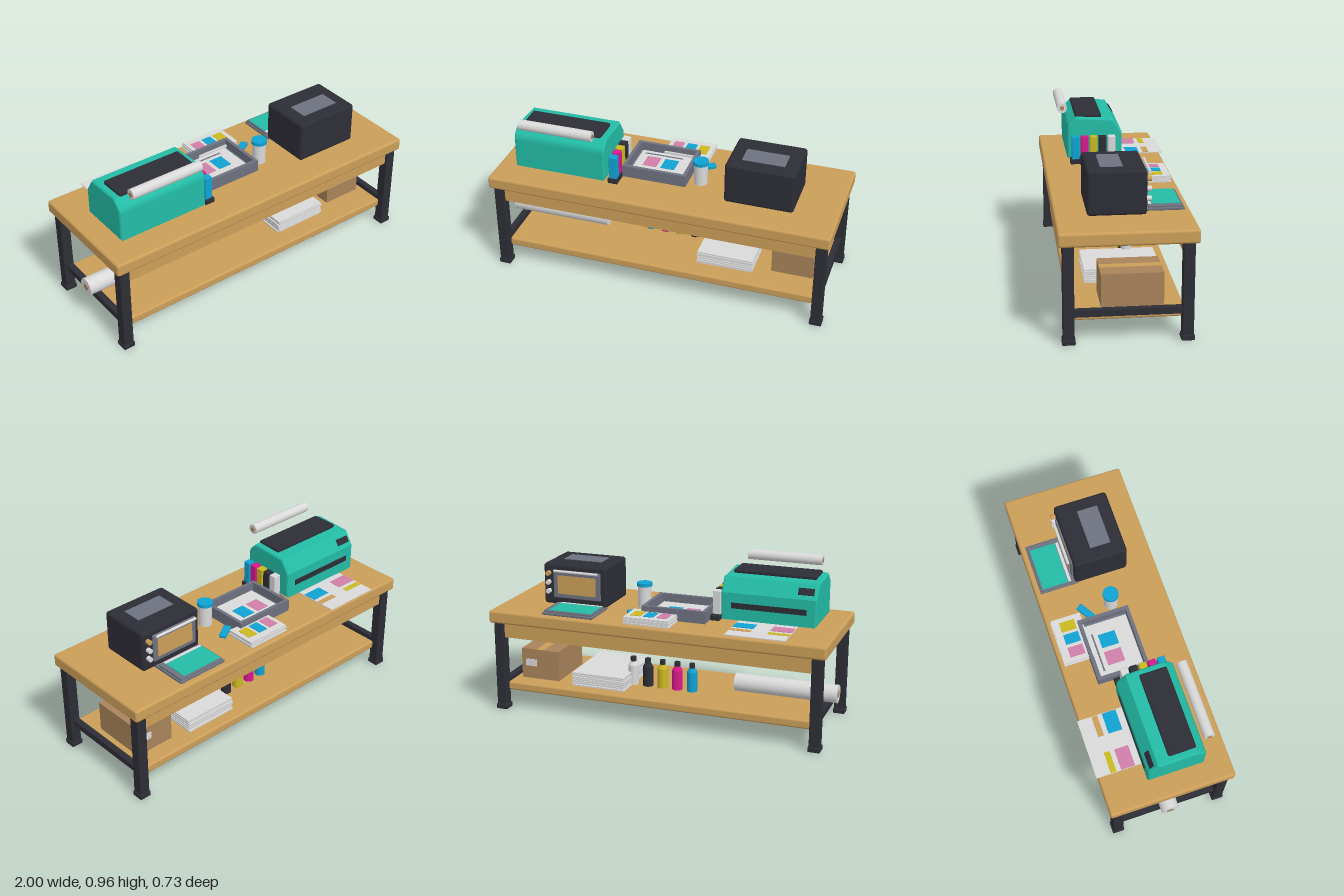
import * as THREE from 'three';
import { RoundedBoxGeometry } from 'three/addons/geometries/RoundedBoxGeometry.js';

const mat = (name, color) => {
  const m = new THREE.MeshStandardMaterial({ color });
  m.name = name;
  return m;
};

export function createModel() {
  const wood = mat('wood', 0xcb9e59), dark = mat('charcoal', 0x2d2d36), teal = mat('teal', 0x23bca6);
  const white = mat('paper white', 0xd9d9d9), grey = mat('slate grey', 0x6e7280), cyan = mat('cyan', 0x0fa2d2);
  const magenta = mat('magenta', 0xd8188c), yellow = mat('yellow', 0xcab81f);
  const card = mat('cardboard', 0xa8835a), pink = mat('pink', 0xd07fa8);

  const root = new THREE.Group();
  root.name = 'printWorkbench';
  let target = root;
  const group = (name) => {
    target = new THREE.Group();
    target.name = name;
    root.add(target);
    return target;
  };
  const add = (name, geo, m, x = 0, y = 0, z = 0) => {
    const mesh = new THREE.Mesh(geo, m);
    mesh.name = name;
    mesh.position.set(x, y, z);
    target.add(mesh);
    return mesh;
  };
  // Box given by its limits on each axis, optionally rounded
  const box = (name, m, x0, x1, y0, y1, z0, z1, r = 0) => {
    const s = [x1 - x0, y1 - y0, z1 - z0];
    const geo = r ? new RoundedBoxGeometry(...s, 3, r) : new THREE.BoxGeometry(...s);
    return add(name, geo, m, (x0 + x1) / 2, (y0 + y1) / 2, (z0 + z1) / 2);
  };
  const cylX = (name, m, x0, x1, r, y, z) =>
    add(name, new THREE.CylinderGeometry(r, r, x1 - x0, 32).rotateZ(Math.PI / 2), m, (x0 + x1) / 2, y, z);
  const cylY = (name, m, x, z, y0, y1, r, r2 = r) =>
    add(name, new THREE.CylinderGeometry(r2, r, y1 - y0, 32), m, x, (y0 + y1) / 2, z);
  // Flat printed patch
  const patch = (name, m, x0, x1, y, z0, z1) => box(name, m, x0, x1, y, y + 0.003, z0, z1);

  // Table
  group('table');
  box('tableTop', wood, -0.999, 0.996, 0.535, 0.61, -0.359, 0.364, 0.014);
  box('shelf', wood, -0.92, 0.92, 0.112, 0.163, -0.297, 0.303, 0.012);
  for (const s of [-1, 1]) {
    const z = 0.003 + s * 0.309;
    box('apron', wood, -0.92, 0.92, 0.445, 0.54, z - 0.015, z + 0.015);
    for (const t of [-1, 1]) {
      const x = t * 0.946;
      box('leg', dark, x - 0.03, x + 0.03, 0.01, 0.537, z - 0.03, z + 0.03, 0.005);
      box('foot', dark, x - 0.035, x + 0.035, 0, 0.03, z - 0.035, z + 0.035, 0.006);
    }
    box('sideStretcher', dark, s * 0.94 - 0.018, s * 0.94 + 0.018, 0.145, 0.182, -0.28, 0.286);
  }

  // Printer body: side profile (z, y) swept along x
  group('printer');
  const profile = new THREE.Shape();
  profile.moveTo(-0.108, 0.63);
  profile.lineTo(0.22, 0.63);
  profile.lineTo(0.22, 0.8);
  profile.quadraticCurveTo(0.22, 0.83, 0.2, 0.845);
  profile.lineTo(0.165, 0.878);
  profile.lineTo(-0.055, 0.866);
  profile.lineTo(-0.108, 0.785);
  const bevel = 0.012, width = 0.546;
  const body = new THREE.ExtrudeGeometry(profile, {
    depth: width - 2 * bevel, bevelSize: bevel, bevelThickness: bevel, bevelOffset: -bevel, bevelSegments: 3, curveSegments: 6,
  });
  body.translate(0, 0, -(width / 2 - bevel)).rotateY(-Math.PI / 2);
  add('printerBody', body, teal, -0.608);
  box('printerLid', dark, -0.845, -0.37, 0.866, 0.891, 0.012, 0.17, 0.01);
  box('outputSlot', dark, -0.825, -0.395, 0.698, 0.73, -0.113, -0.1);
  const panel = add('controlPanel', new THREE.BoxGeometry(0.09, 0.04, 0.008), dark, -0.815, 0.824, -0.083);
  panel.rotation.x = 0.57;

  // Paper rolls with cardboard cores
  group('mediaRoll');
  cylX('rollPaper', white, -0.825, -0.39, 0.03, 0.926, 0.247);
  cylX('rollCore', card, -0.828, -0.385, 0.013, 0.926, 0.247);
  group('shelfRoll');
  cylX('rollPaper', white, -0.998, -0.4, 0.052, 0.227, 0.0);
  cylX('rollCore', card, -1.0, -0.397, 0.02, 0.227, 0.0);

  // Fresh print lying behind the printer
  group('printedSheet');
  box('sheet', white, -0.778, -0.437, 0.622, 0.627, -0.368, -0.09);
  patch('yellowBar', yellow, -0.775, -0.655, 0.626, -0.285, -0.252);
  patch('pinkBlock', pink, -0.775, -0.655, 0.626, -0.225, -0.145);
  patch('tanBar', wood, -0.56, -0.44, 0.626, -0.285, -0.252);
  patch('blueBlock', cyan, -0.56, -0.44, 0.626, -0.225, -0.145);

  // Ink cartridges and shelf bottles share one colour order
  const inks = [cyan, magenta, yellow, dark, white];
  group('inkCartridges');
  box('cartridgeBase', dark, -0.323, -0.265, 0.61, 0.64, -0.098, 0.207, 0.004);
  inks.forEach((m, i) => {
    const z = 0.175 - i * 0.054;
    box('cartridge', m, -0.318, -0.272, 0.635, 0.775, z - 0.022, z + 0.022, 0.004);
  });
  group('inkBottles');
  inks.forEach((m, i) => {
    const x = -0.155 + i * 0.091, pts = [[0, 0.163], [0.03, 0.163], [0.03, 0.28], [0.018, 0.3], [0.015, 0.31], [0, 0.31]];
    const geo = new THREE.LatheGeometry(pts.map(([r, y]) => new THREE.Vector2(r, y)), 28).toNonIndexed();
    geo.computeVertexNormals();
    add('bottle', geo, m, x, 0, -0.07);
    cylY('bottleCap', dark, x, -0.07, 0.305, 0.33, 0.017);
  });

  // Open tray holding a print
  group('curingTray');
  box('trayFloor', grey, -0.268, 0.11, 0.612, 0.63, -0.187, 0.115);
  for (const [a, b] of [[-0.187, -0.167], [0.095, 0.115]]) box('trayLongWall', grey, -0.268, 0.11, 0.612, 0.682, a, b);
  for (const [a, b] of [[-0.268, -0.248], [0.09, 0.11]]) box('trayShortWall', grey, a, b, 0.612, 0.682, -0.168, 0.096);
  box('traySheet', white, -0.235, 0.077, 0.63, 0.636, -0.16, 0.092);
  patch('pinkBlock', pink, -0.185, -0.103, 0.635, -0.1, 0.0);
  patch('blueBlock', cyan, -0.077, 0.005, 0.635, -0.1, 0.0);
  patch('titleBar', grey, -0.21, 0.02, 0.635, -0.135, -0.126);

  // Sample prints stacked behind the tray
  group('sampleStack');
  for (let i = 0; i < 4; i++) {
    const d = (i % 2) * 0.004;
    box('sampleSheet', white, -0.107 + d, 0.162 + d, 0.611 + i * 0.0105, 0.619 + i * 0.0105, -0.333 + d, -0.16 + d);
  }
  box('stackCore', white, -0.1, 0.16, 0.611, 0.65, -0.327, -0.165);
  [[-0.078, pink], [0.002, cyan], [0.079, yellow]].forEach(([x, m]) => patch('colourSwatch', m, x, x + 0.06, 0.65, -0.288, -0.2));

  // Powder jar and scraper
  group('jar');
  cylY('jarBody', white, 0.178, 0.036, 0.61, 0.738, 0.039);
  cylY('jarLid', cyan, 0.178, 0.036, 0.736, 0.756, 0.045);
  group('scraper');
  const scraper = add('scraperBody', new RoundedBoxGeometry(0.11, 0.02, 0.042, 2, 0.005), cyan, 0.167, 0.622, -0.118);
  scraper.rotation.y = 0.55;

  // Curing oven, its door side facing the back
  group('oven');
  box('ovenBody', dark, 0.357, 0.752, 0.616, 0.859, -0.118, 0.197, 0.018);
  patch('topWindow', grey, 0.435, 0.677, 0.859, 0.002, 0.122);
  box('doorFrame', grey, 0.39, 0.685, 0.66, 0.825, -0.129, -0.116, 0.004);
  box('doorGlass', wood, 0.418, 0.657, 0.685, 0.795, -0.132, -0.126);
  cylX('doorHandle', white, 0.4, 0.675, 0.008, 0.822, -0.142);
  [[0.803, wood], [0.749, white], [0.696, white]].forEach(([y, m]) => {
    add('knob', new THREE.CylinderGeometry(0.014, 0.014, 0.027, 24).rotateX(Math.PI / 2), m, 0.716, y, -0.13);
  });

  // Heat tray on the table behind the oven
  group('heatTray');
  box('trayBase', grey, 0.357, 0.668, 0.61, 0.625, -0.328, -0.1, 0.004);
  box('trayRim', grey, 0.365, 0.66, 0.622, 0.637, -0.32, -0.135, 0.004);
  patch('heatPad', teal, 0.372, 0.63, 0.636, -0.31, -0.158);
  patch('padStrip', white, 0.372, 0.63, 0.636, -0.155, -0.138);

  // Paper ream on the shelf
  group('paperStack');
  for (let i = 0; i < 7; i++) {
    const d = ((i * 3) % 4 - 1.5) * 0.002, y = 0.163 + i * 0.0117;
    box('ream', white, 0.21 + d, 0.536 + d, y, y + 0.009, -0.224 + d, 0.196 + d);
  }
  box('stackCore', white, 0.218, 0.529, 0.163, 0.24, -0.216, 0.188);

  // Cardboard box with tape and label
  group('cardboardBox');
  box('carton', card, 0.636, 0.876, 0.163, 0.344, -0.193, 0.138);
  patch('tape', wood, 0.732, 0.78, 0.343, -0.193, 0.138);
  box('label', white, 0.78, 0.85, 0.24, 0.282, -0.197, -0.192);
  return root;
}
